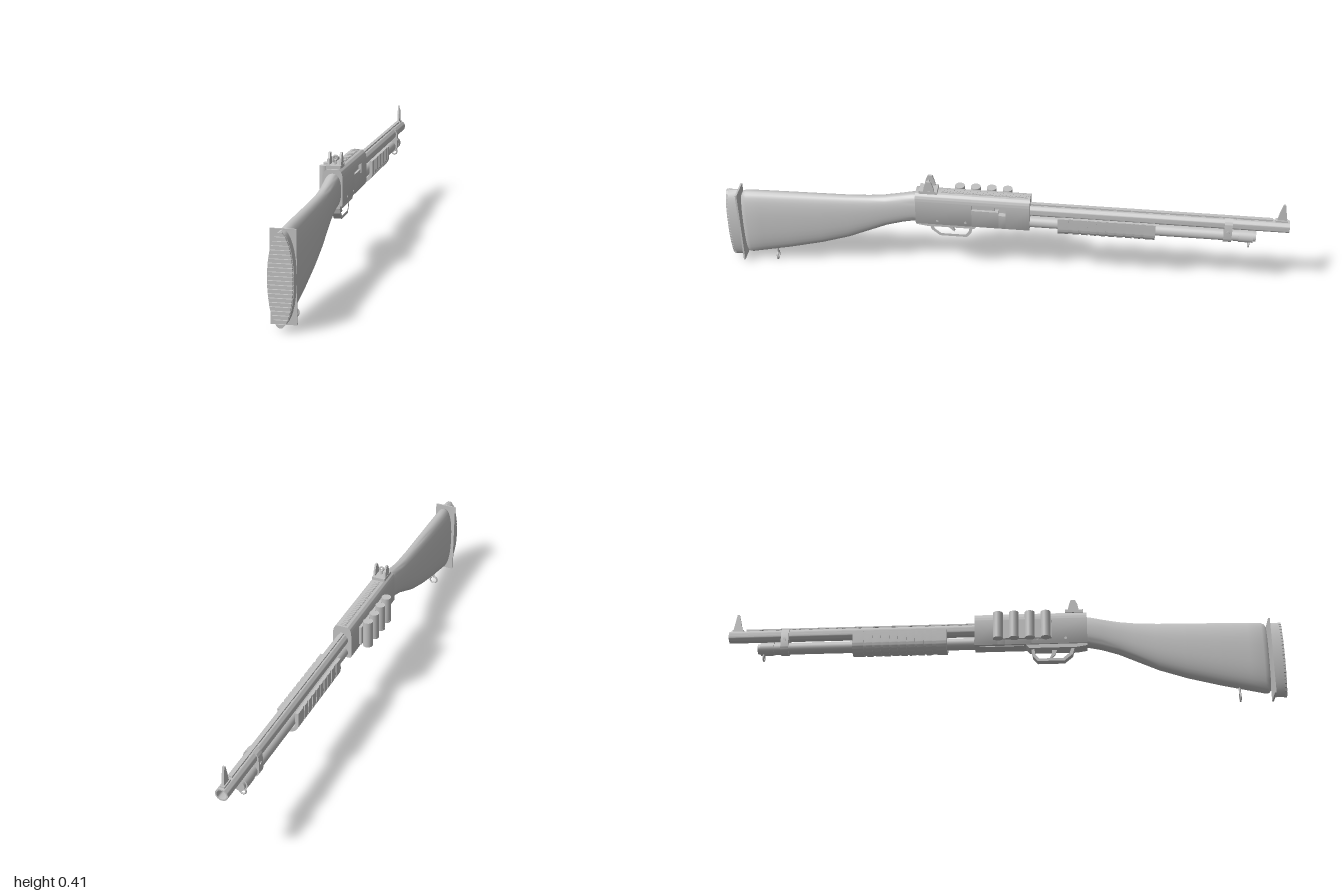
import * as THREE from 'three';
import { toCreasedNormals } from 'three/addons/utils/BufferGeometryUtils.js';

const CX = 0.018; // centre plane of the long gun

export function createModel() {
  const model = new THREE.Group();
  model.name = 'pumpShotgun';
  const grey = new THREE.MeshStandardMaterial({ color: 0xc2c2c2 });
  grey.name = 'lightGrey';

  const add = (name, geo, x = 0, y = 0, z = 0) => {
    const m = new THREE.Mesh(geo, grey);
    m.name = name;
    m.position.set(x, y, z);
    model.add(m);
  };
  // box given by its limits in y and z, centred on x
  const box = (name, x, w, y0, y1, z0, z1) =>
    add(name, new THREE.BoxGeometry(w, y1 - y0, z1 - z0), x, (y0 + y1) / 2, (z0 + z1) / 2);
  // cylinder along z
  const rod = (name, r, y, z0, z1) =>
    add(name, new THREE.CylinderGeometry(r, r, z1 - z0, 28).rotateX(Math.PI / 2), CX, y, (z0 + z1) / 2);
  const toShape = pts => new THREE.Shape(pts.map(p => new THREE.Vector2(p[0], p[1])));
  // side profile in (z, y), extruded across x
  const side = (name, pts, x, w, hole) => {
    const s = toShape(pts);
    if (hole) s.holes.push(toShape(hole));
    const g = new THREE.ExtrudeGeometry(s, { depth: w, bevelEnabled: false });
    add(name, g.rotateY(-Math.PI / 2), x + w / 2, 0, 0);
  };
  // front profile in (x, y), extruded along z
  const along = (name, shape, z0, z1) => {
    const g = new THREE.ExtrudeGeometry(shape, { depth: z1 - z0, bevelEnabled: false, curveSegments: 16 });
    add(name, toCreasedNormals(g, 0.6), CX, 0, z0);
  };

  // stock: sections of z, bottom, top, half width
  const sections = [
    [0.29, 0.228, 0.345, 0.03], [0.32, 0.225, 0.343, 0.03], [0.36, 0.216, 0.334, 0.029],
    [0.42, 0.196, 0.322, 0.028], [0.48, 0.168, 0.315, 0.029], [0.56, 0.131, 0.311, 0.031],
    [0.66, 0.097, 0.309, 0.034], [0.78, 0.065, 0.307, 0.036], [0.88, 0.042, 0.305, 0.037],
    [0.928, 0.031, 0.303, 0.037], [0.94, 0.032, 0.298, 0.034], [0.946, 0.04, 0.288, 0.028],
  ];
  const N = 32, pos = [], idx = [];
  for (const [z, y0, y1, w] of sections) {
    for (let j = 0; j < N; j++) {
      const a = (j / N) * Math.PI * 2, c = Math.cos(a), s = Math.sin(a);
      pos.push(CX + w * Math.sign(c) * Math.abs(c) ** 0.85,
        (y0 + y1) / 2 + (y1 - y0) / 2 * Math.sign(s) * Math.abs(s) ** 0.85, z);
    }
  }
  const last = (sections.length - 1) * N;
  for (let i = 0; i < sections.length - 1; i++) {
    for (let j = 0; j < N; j++) {
      const k = (j + 1) % N, a = i * N + j, b = i * N + k;
      idx.push(a, b, b + N, a, b + N, a + N);
    }
  }
  for (let j = 1; j < N - 1; j++) idx.push(last, last + j, last + j + 1, 0, j + 1, j);
  const stock = new THREE.BufferGeometry();
  stock.setAttribute('position', new THREE.Float32BufferAttribute(pos, 3));
  stock.setIndex(idx);
  add('stock', toCreasedNormals(stock, 0.7));

  // butt plate and ribbed oval recoil pad
  box('buttPlate', CX, 0.081, 0.015, 0.305, 0.953, 0.959);
  const padY = 0.159, padH = 0.144, padW = 0.0405;
  const oval = new THREE.Shape();
  oval.absellipse(0, padY, padW, padH, 0, Math.PI * 2);
  along('recoilPad', oval, 0.957, 0.992);
  const ribs = 22, pitch = padH * 2 / ribs;
  const halfAt = y => (padW - 0.002) * Math.sqrt(Math.max(0.03, 1 - ((y - padY) / padH) ** 2));
  for (let i = 0; i < ribs; i++) {
    const y = padY - padH + (i + 0.5) * pitch, d = pitch * 0.4;
    const lo = halfAt(y - d), hi = halfAt(y + d);
    along('padRib', toShape([[-lo, y - d], [lo, y - d], [hi, y + d], [-hi, y + d]]), 0.99, 1);
  }

  // receiver with rounded top; a notch from notchY upward opens the ejection port on the +x side
  const body = notchY => {
    const s = new THREE.Shape();
    s.moveTo(-0.031, 0.232);
    s.lineTo(0.031, 0.232);
    s.lineTo(0.0345, 0.238);
    if (notchY) {
      s.lineTo(0.0345, notchY);
      s.lineTo(0.016, notchY);
      s.lineTo(0.016, 0.325);
    }
    s.lineTo(0.0345, 0.325);
    s.bezierCurveTo(0.0345, 0.342, 0.03, 0.352, 0.02, 0.357);
    s.lineTo(-0.02, 0.357);
    s.bezierCurveTo(-0.03, 0.352, -0.0345, 0.342, -0.0345, 0.325);
    s.lineTo(-0.0345, 0.238);
    return s;
  };
  along('receiverFront', body(), -0.098, -0.014);
  along('receiverPort', body(0.29), -0.014, 0.012);
  along('receiverPort', body(0.304), 0.012, 0.108);
  along('receiverRear', body(), 0.108, 0.308);
  box('bolt', 0.04, 0.016, 0.308, 0.322, 0.025, 0.107);
  side('triggerPlate', [[0.308, 0.24], [0.308, 0.224], [0.27, 0.218], [0.1, 0.218], [0.08, 0.24]], CX, 0.05);
  box('loadingGate', CX, 0.04, 0.229, 0.234, -0.08, 0.08);
  box('topRail', CX, 0.02, 0.355, 0.359, -0.09, 0.22);
  for (let i = 0; i < 26; i++) box('railTooth', CX, 0.016, 0.358, 0.361, -0.085 + i * 0.0117, -0.079 + i * 0.0117);
  for (const z of [0.13, 0.23]) {
    add('pin', new THREE.CylinderGeometry(0.005, 0.005, 0.0705, 12).rotateZ(Math.PI / 2), CX, 0.25, z);
  }

  // trigger and guard
  side('triggerGuard',
    [[0.262, 0.222], [0.255, 0.196], [0.225, 0.171], [0.128, 0.171], [0.112, 0.19], [0.105, 0.222]], CX, 0.028,
    [[0.249, 0.218], [0.244, 0.201], [0.22, 0.181], [0.134, 0.181], [0.122, 0.194], [0.117, 0.218]]);
  side('trigger', [[0.2, 0.222], [0.192, 0.2], [0.175, 0.184], [0.172, 0.188], [0.18, 0.204], [0.18, 0.222]], CX, 0.008);

  // rear sight: base, two ears and a ring
  box('rearSightBase', CX, 0.049, 0.357, 0.368, 0.23, 0.295);
  for (const s of [-1, 1]) {
    side('rearSightEar', [[0.28, 0.366], [0.275, 0.39], [0.267, 0.408], [0.252, 0.408], [0.245, 0.39], [0.24, 0.366]],
      CX + s * 0.02, 0.007);
  }
  add('rearSightRing', new THREE.TorusGeometry(0.0075, 0.0035, 10, 24), CX, 0.39, 0.262);
  box('rearSightStem', CX, 0.006, 0.366, 0.382, 0.258, 0.266);

  // shell carrier on the -x side
  box('shellCarrier', -0.021, 0.011, 0.25, 0.322, -0.03, 0.18);
  for (const z of [-0.011, 0.046, 0.103, 0.16]) {
    add('shell', new THREE.CylinderGeometry(0.0175, 0.0175, 0.095, 24), -0.0432, 0.2955, z);
    add('shellRim', new THREE.CylinderGeometry(0.0178, 0.0178, 0.006, 24), -0.0432, 0.245, z);
  }

  // hollow barrel, lathed along z, with its top rib
  const bore = [[0, 0.9], [0.017, 0.9], [0.017, 1], [0.022, 1], [0.022, 0.09]];
  const tube = new THREE.LatheGeometry(bore.map(p => new THREE.Vector2(p[0], -p[1])), 32);
  add('barrel', toCreasedNormals(tube.rotateX(Math.PI / 2), 0.6), CX, 0.303, 0);
  box('barrelRib', CX, 0.013, 0.327, 0.331, -0.94, -0.09);
  for (let i = 0; i < 14; i++) box('ribPost', CX, 0.012, 0.321, 0.329, -0.146 - i * 0.061, -0.098 - i * 0.061);

  // magazine tube, cap and barrel clamp
  rod('magazineTube', 0.0215, 0.252, -0.85, -0.09);
  rod('magazineCap', 0.024, 0.252, -0.88, -0.83);
  rod('magazineTip', 0.019, 0.252, -0.89, -0.88);
  const clamp = new THREE.Shape();
  clamp.absarc(0, 0.301, 0.027, 0, Math.PI, false);
  clamp.absarc(0, 0.253, 0.027, Math.PI, Math.PI * 2, false);
  along('clamp', clamp, -0.805, -0.777);
  add('clampBolt', new THREE.CylinderGeometry(0.006, 0.006, 0.059, 10).rotateZ(Math.PI / 2), CX, 0.278, -0.791);

  // sliding forend: U-shaped trough with raised ribs
  const trough = r => {
    const s = new THREE.Shape(), y = 0.253, top = 0.296, inner = 0.026;
    s.moveTo(-r, top);
    s.lineTo(-r, y);
    s.absarc(0, y, r, Math.PI, Math.PI * 2, false);
    s.lineTo(r, top);
    s.lineTo(inner, top);
    s.lineTo(inner, y);
    s.absarc(0, y, inner, 0, -Math.PI, true);
    s.lineTo(-inner, top);
    return s;
  };
  along('forend', trough(0.0355), -0.538, -0.2);
  along('forendEnd', trough(0.038), -0.54, -0.5);
  along('forendEnd', trough(0.038), -0.235, -0.198);
  for (let i = 0; i < 8; i++) along('forendRib', trough(0.038), -0.49 + i * 0.031, -0.468 + i * 0.031);

  // front sight blade
  box('frontSightBase', CX, 0.016, 0.32, 0.33, -0.992, -0.95);
  side('frontSight', [[-0.955, 0.325], [-0.962, 0.36], [-0.971, 0.394], [-0.978, 0.394], [-0.984, 0.36], [-0.99, 0.325]],
    CX, 0.008);

  // sling swivels
  const swivel = (name, y, z, r, stem) => {
    add(name, new THREE.TorusGeometry(r, 0.003, 8, 24), CX, y, z);
    add(name + 'Stud', new THREE.CylinderGeometry(0.004, 0.004, stem, 10), CX, y + r + stem / 2 - 0.002, z);
  };
  swivel('rearSwivel', 0.0175, 0.838, 0.0145, 0.025);
  swivel('frontSwivel', 0.217, -0.868, 0.011, 0.012);

  return model;
}
